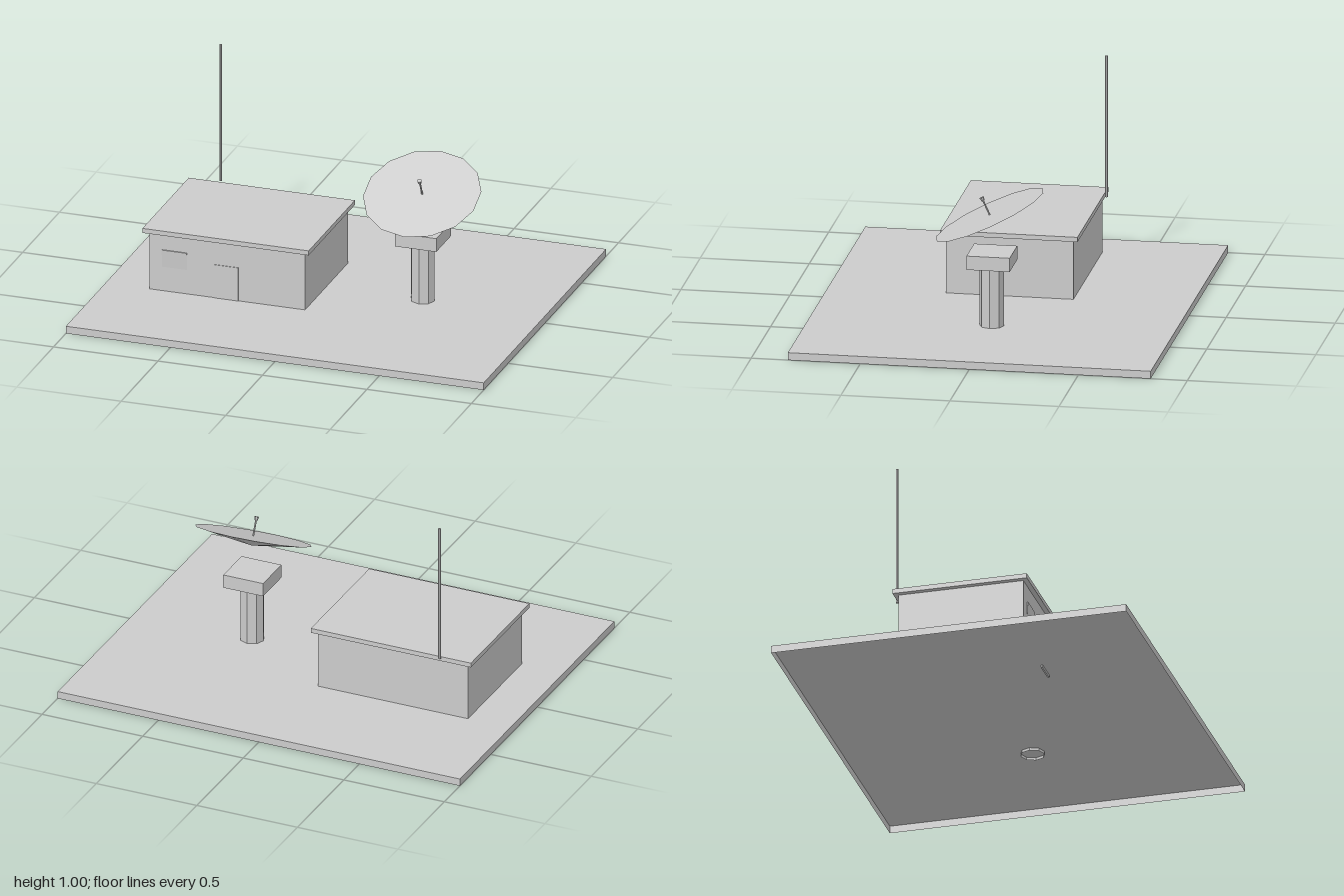
import * as THREE from 'three';

export function createModel() {
  const model = new THREE.Group();
  model.name = 'groundStation';
  const grey = new THREE.MeshStandardMaterial({ color: 0xcccccc, side: THREE.DoubleSide });
  grey.name = 'light grey';

  const add = (name, geometry, x, y, z, parent = model) => {
    const mesh = new THREE.Mesh(geometry, grey);
    mesh.name = name;
    mesh.position.set(x, y, z);
    parent.add(mesh);
    return mesh;
  };
  // box from its size, centre x/z and bottom height
  const box = (name, w, h, d, x, bottom, z) =>
    add(name, new THREE.BoxGeometry(w, h, d), x, bottom + h / 2, z);
  // faceted upright prism
  const prism = (rTop, rBottom, h, sides, open = false) => {
    const g = new THREE.CylinderGeometry(rTop, rBottom, h, sides, 1, open).toNonIndexed();
    g.computeVertexNormals();
    return g;
  };

  // ground slab, open underneath
  const slab = new THREE.BoxGeometry(2, 0.035, 1.664);
  const faces = Array.from(slab.index.array);
  faces.splice(18, 6);
  slab.setIndex(faces);
  slab.clearGroups();
  add('groundSlab', slab, 0, 0.0175, 0);

  // building
  box('buildingWalls', 0.746, 0.28, 0.584, -0.418, 0.035, 0);
  box('roof', 0.796, 0.022, 0.63, -0.418, 0.314, 0);
  box('door', 0.112, 0.175, 0.008, -0.421, 0.022, 0.291);
  const windowPlate = box('window', 0.12, 0.1, 0.006, -0.67, 0.135, 0.291);
  windowPlate.rotation.x = 0.06;

  // mast behind the building
  add('mast', prism(0.0065, 0.0065, 0.666, 6), -0.669, 0.668, -0.333);

  // dish pedestal
  add('pillar', prism(0.056, 0.056, 0.3, 8, true), 0.416, 0.172, 0);
  box('pillarHead', 0.198, 0.065, 0.198, 0.416, 0.32, 0);

  // tilted dish: shallow cone with its flat face up, and a feed on a rod
  const dish = new THREE.Group();
  dish.name = 'dishAssembly';
  dish.position.set(0.416, 0.555, 0.01);
  dish.rotation.x = THREE.MathUtils.degToRad(25);
  model.add(dish);
  add('dish', prism(0.271, 0, 0.045, 14), 0, -0.0225, 0, dish);
  add('feedRod', prism(0.004, 0.004, 0.08, 6), 0, 0.04, 0, dish);
  add('feedHorn', prism(0.011, 0.008, 0.016, 8), 0, 0.08, 0, dish);

  return model;
}
